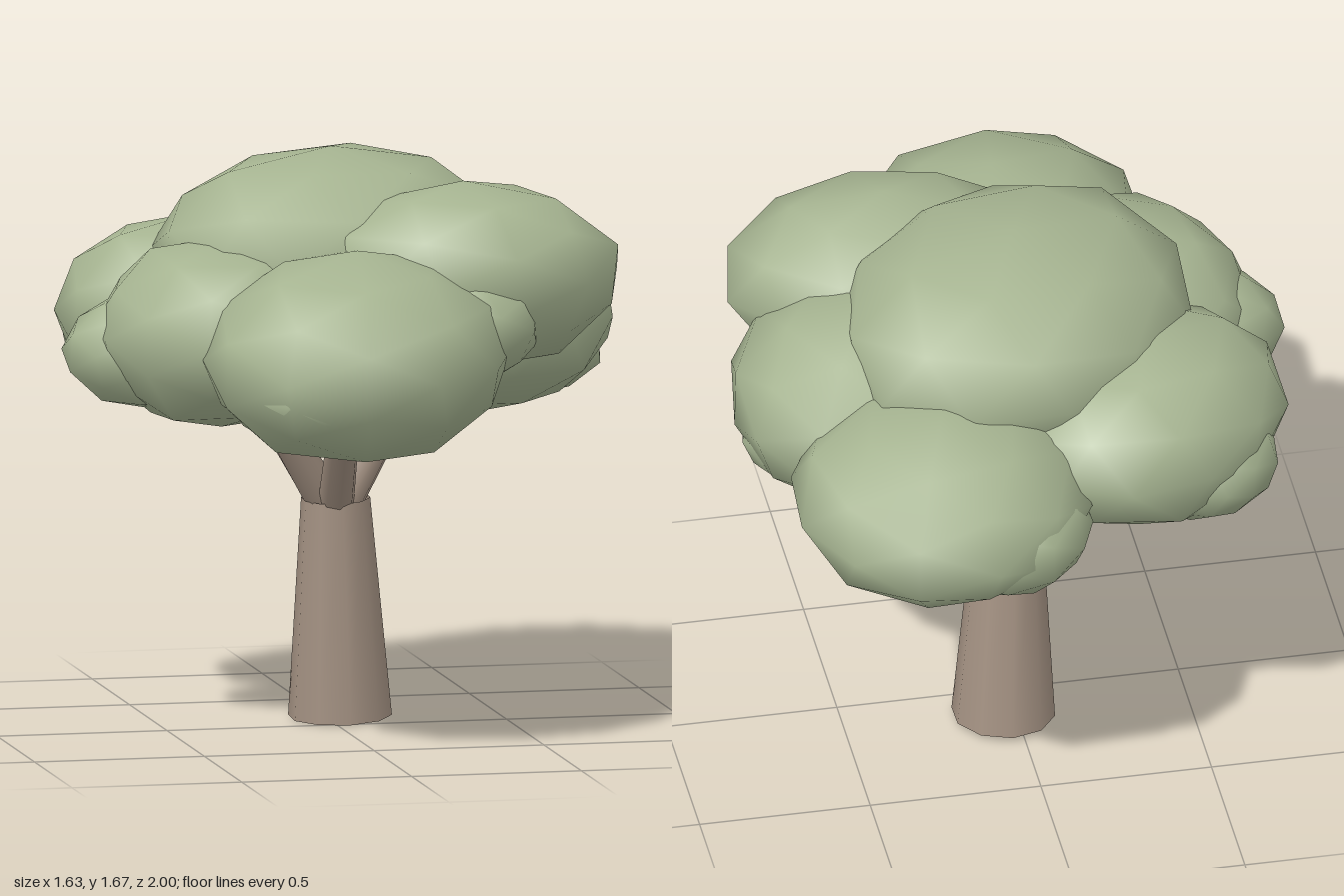
import * as THREE from 'three';
import { mergeVertices } from 'three/addons/utils/BufferGeometryUtils.js';

// Small seeded generator of numbers from -1 to 1
function seeded(seed) {
  let s = seed * 7919 + 17;
  return () => {
    s = (s * 16807) % 2147483647;
    return (s / 2147483647) * 2 - 1;
  };
}

// Irregular low-poly ball with smooth normals, sheared and then fitted to the given radii.
// drop lowers it along z, skew slides it along x as z grows.
function clumpGeometry(radii, drop, skew, seed) {
  let g = new THREE.IcosahedronGeometry(1, 1);
  g.deleteAttribute('uv');
  g.deleteAttribute('normal');
  g = mergeVertices(g, 1e-3);
  g.rotateY(seed * 1.3);
  const rand = seeded(seed);
  const p = g.attributes.position;
  for (let i = 0; i < p.count; i++) {
    const bump = 1 + 0.03 * rand();
    const x = p.getX(i) * bump;
    const z = p.getZ(i) * bump;
    p.setXYZ(i, x + skew * z, p.getY(i) * bump - drop * z, z);
  }
  g.computeBoundingBox();
  g.center();
  g.computeBoundingBox();
  const half = g.boundingBox.max.clone();
  g.scale(radii[0] / half.x, radii[1] / half.y, radii[2] / half.z);
  g.computeVertexNormals();
  return g;
}

// Open tapered limb from one point to another
function limb(name, from, to, r0, r1, sides, material) {
  const a = new THREE.Vector3(...from);
  const b = new THREE.Vector3(...to);
  const dir = b.clone().sub(a);
  const mesh = new THREE.Mesh(new THREE.CylinderGeometry(r1, r0, dir.length(), sides, 1, true), material);
  mesh.name = name;
  mesh.position.copy(a).add(b).multiplyScalar(0.5);
  mesh.quaternion.setFromUnitVectors(new THREE.Vector3(0, 1, 0), dir.normalize());
  return mesh;
}

export function createModel() {
  const model = new THREE.Group();
  model.name = 'tree';
  const bark = new THREE.MeshStandardMaterial({ name: 'bark brown', color: 0xa39182, side: THREE.DoubleSide });
  const leaf = new THREE.MeshStandardMaterial({ name: 'leaf green', color: 0xa6b491 });

  // Leaning trunk, open at the foot
  model.add(limb('trunk', [0.037, 0.009, -0.125], [0.016, 0.648, -0.088], 0.15, 0.1, 10, bark));

  // Branches fanning out of the trunk into the crown
  const branches = new THREE.Group();
  branches.name = 'branches';
  const tips = [
    [-0.04, 0.98, 0.31],
    [0.24, 1.0, -0.08],
    [0.21, 1.0, -0.39],
    [-0.2, 1.0, -0.33],
    [-0.24, 1.0, 0.05],
  ];
  for (const tip of tips) {
    const base = [0.015 + tip[0] * 0.08, 0.62, -0.09 + (tip[2] + 0.09) * 0.04];
    branches.add(limb('branch', base, tip, 0.054, 0.045, 8, bark));
  }
  model.add(branches);

  // Leaf clumps: name, centre, radii, drop, skew
  const crown = new THREE.Group();
  crown.name = 'crown';
  const clumps = [
    ['topClump', [0.0, 1.36, -0.09], [0.515, 0.31, 0.52], 0, -0.15],
    ['frontClump', [-0.06, 1.165, 0.54], [0.455, 0.297, 0.46], 0.12, -0.15],
    ['frontLeftClump', [0.325, 1.335, 0.26], [0.46, 0.275, 0.33], 0, 0],
    ['leftClump', [0.42, 1.18, -0.1], [0.395, 0.3, 0.415], 0, 0],
    ['backClump', [0.31, 1.14, -0.59], [0.425, 0.26, 0.41], -0.12, 0],
    ['backRightClump', [-0.33, 1.17, -0.385], [0.415, 0.275, 0.395], 0, -0.2],
    ['rightClump', [-0.37, 1.18, 0.17], [0.37, 0.275, 0.395], 0, 0],
    ['smallFrontLeftClump', [0.25, 1.21, 0.43], [0.24, 0.175, 0.24], 0, 0],
    ['smallRightClump', [-0.57, 1.13, 0.11], [0.25, 0.175, 0.2], 0, 0],
    ['smallFrontClump', [-0.2, 1.07, 0.68], [0.27, 0.17, 0.275], 0, 0],
    ['smallLeftClump', [0.575, 1.07, -0.11], [0.23, 0.15, 0.22], 0, 0],
    ['smallBackClump', [0.15, 1.07, -0.69], [0.26, 0.18, 0.25], 0, 0],
    ['smallBackRightClump', [-0.47, 1.08, -0.47], [0.225, 0.17, 0.225], 0, 0],
  ];
  clumps.forEach(([name, centre, radii, drop, skew], i) => {
    const mesh = new THREE.Mesh(clumpGeometry(radii, drop, skew, i + 1), leaf);
    mesh.name = name;
    mesh.position.set(...centre);
    crown.add(mesh);
  });
  model.add(crown);

  return model;
}
